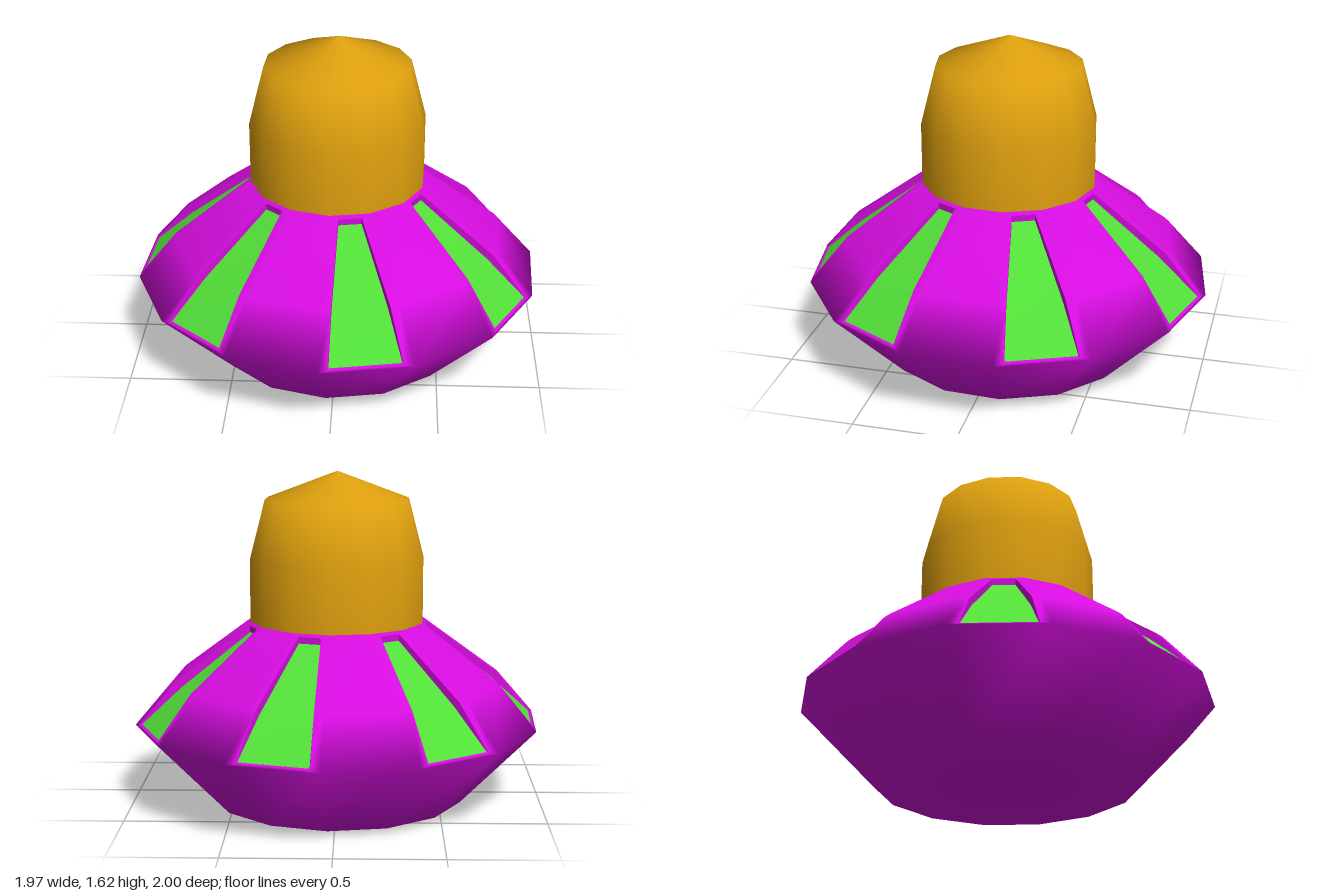
import * as THREE from 'three';
import { mergeVertices } from 'three/addons/utils/BufferGeometryUtils.js';

const SIDES = 14;
const STEP = (Math.PI * 2) / SIDES;
const START = THREE.MathUtils.degToRad(-35.5);
const APOTHEM = Math.cos(STEP / 2);

// Point on a ring of the given radius
const ring = (a, [r, y]) => [r * Math.cos(a), y, r * Math.sin(a)];

// Point on a flat side: centre angle, sideways offset, distance out and height
const onSide = (a, w, p, y) => [
  p * Math.cos(a) - w * Math.sin(a), y, p * Math.sin(a) + w * Math.cos(a),
];

// Corners run counter-clockwise seen from the front
function quad(out, a, b, c, d) {
  out.push(...a, ...b, ...c, ...a, ...c, ...d);
}

function toGeometry(positions, smooth) {
  let g = new THREE.BufferGeometry();
  g.setAttribute('position', new THREE.Float32BufferAttribute(positions, 3));
  if (smooth) g = mergeVertices(g, 1e-4);
  g.computeVertexNormals();
  return g;
}

export function createModel() {
  const group = new THREE.Group();
  const magenta = new THREE.MeshStandardMaterial({ color: 0xd60de0 });
  magenta.name = 'magenta';
  const green = new THREE.MeshStandardMaterial({ color: 0x52de38 });
  green.name = 'green';
  const orange = new THREE.MeshStandardMaterial({ color: 0xdc9e0e });
  orange.name = 'orange';

  const add = (name, geometry, material) => {
    const mesh = new THREE.Mesh(geometry, material);
    mesh.name = name;
    group.add(mesh);
  };

  // Saucer rings [radius, y] from the base to the neck
  const base = [0.63, 0];
  const rows = [[1, 0.385], [0.815, 0.6], [0.43, 0.885]];

  // Opening edge and sunken floor rows [half width, distance out, y]
  const opening = [
    [0.173, 0.9923 * APOTHEM, 0.394],
    [0.136, 0.815 * APOTHEM, 0.6],
    [0.055, 0.4476 * APOTHEM, 0.872],
  ];
  const floor = [[0.168, 0.955, 0.398], [0.13, 0.765, 0.575], [0.055, 0.434, 0.84]];

  const skin = [];
  const walls = [];
  for (let i = 0; i < SIDES; i++) {
    const a0 = START + i * STEP;
    const a1 = a0 + STEP;
    const mid = a0 + STEP / 2;
    const R = rows.map((p) => ring(a0, p));
    const L = rows.map((p) => ring(a1, p));

    // Underside, lower flank and top cover
    const b0 = ring(a0, base);
    const b1 = ring(a1, base);
    skin.push(...b0, ...b1, 0, 0, 0);
    quad(skin, b1, b0, R[0], L[0]);
    skin.push(...L[2], ...R[2], 0, rows[2][1], 0);

    if (i % 2) {
      // Plain rib side
      for (let k = 0; k < 2; k++) quad(skin, L[k], R[k], R[k + 1], L[k + 1]);
      continue;
    }

    // Side framing a sunken panel
    const oR = opening.map(([w, p, y]) => onSide(mid, -w, p, y));
    const oL = opening.map(([w, p, y]) => onSide(mid, w, p, y));
    const fR = floor.map(([w, p, y]) => onSide(mid, -w, p, y));
    const fL = floor.map(([w, p, y]) => onSide(mid, w, p, y));
    const panel = [];
    quad(skin, L[0], R[0], oR[0], oL[0]);
    quad(skin, oL[2], oR[2], R[2], L[2]);
    for (let k = 0; k < 2; k++) {
      quad(skin, oR[k], R[k], R[k + 1], oR[k + 1]);
      quad(skin, L[k], oL[k], oL[k + 1], L[k + 1]);
      quad(walls, fR[k], oR[k], oR[k + 1], fR[k + 1]);
      quad(walls, oL[k], fL[k], fL[k + 1], oL[k + 1]);
      quad(panel, fL[k], fR[k], fR[k + 1], fL[k + 1]);
    }
    quad(walls, oL[0], oR[0], fR[0], fL[0]);
    quad(walls, fL[2], fR[2], oR[2], oL[2]);
    add('sunkenPanel' + (i / 2 + 1), toGeometry(panel, true), green);
  }
  add('saucerBody', toGeometry(skin, true), magenta);
  add('panelRecessWalls', toGeometry(walls, false), magenta);

  // Tapered dome with a shallow pointed top
  const profile = [[0.43, 0.88], [0.43, 1.19], [0.355, 1.48], [0, 1.615]]
    .map(([r, y]) => new THREE.Vector2(r, y));
  add('dome', new THREE.LatheGeometry(profile, SIDES, Math.PI / 2 - START), orange);

  return group;
}
